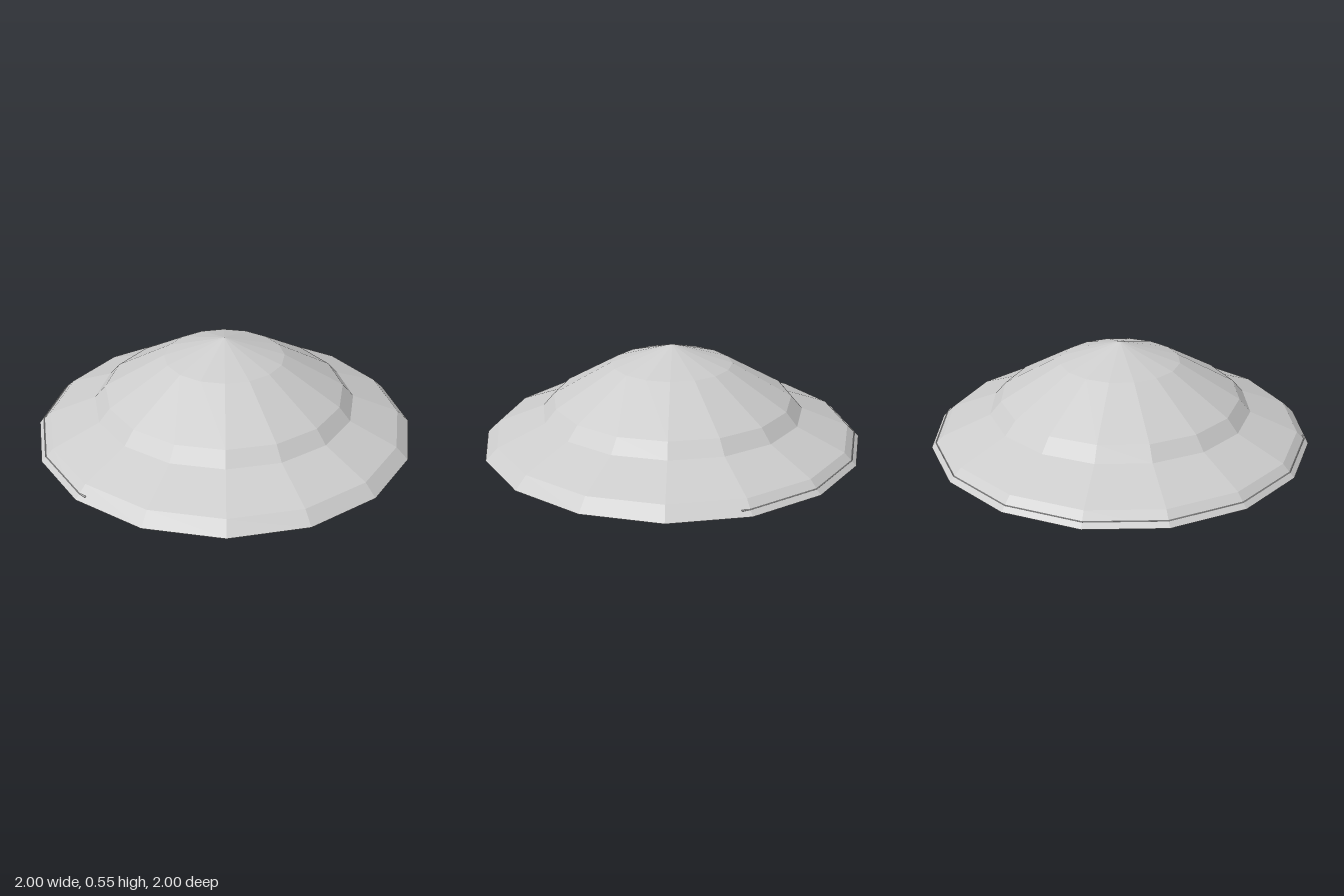
import * as THREE from 'three';

const SIDES = 16;

export function createModel() {
  const group = new THREE.Group();
  const grey = new THREE.MeshStandardMaterial({ color: 0xcccccc, flatShading: true, side: THREE.DoubleSide });
  grey.name = 'lightGrey';

  const add = (name, geometry) => {
    const mesh = new THREE.Mesh(geometry, grey);
    mesh.name = name;
    group.add(mesh);
    return mesh;
  };

  // Faceted thin dome, open underneath
  const profile = [[1, 0.045], [0.937, 0.105], [0.69, 0.202], [0.63, 0.27], [0.315, 0.45], [0, 0.55]];
  add('domeShell', new THREE.LatheGeometry(profile.map(([r, y]) => new THREE.Vector2(r, y)), SIDES));

  // Shallow tray closing the back half, built from half-round loops [radius, y, front z]
  const loops = [[0, 0.07, 0.04], [0.978, 0.07, 0.04], [0.95, 0.046, 0.038], [0.62, 0.012, 0.03], [0.12, 0, 0.02], [0, 0, 0.02]];
  const half = SIDES / 2;
  const count = half + 3;
  const positions = [];
  const index = [];
  for (const [r, y, front] of loops) {
    positions.push(r, y, front);
    for (let i = 0; i <= half; i++) {
      const a = (i / half) * Math.PI;
      positions.push(r * Math.cos(a), y, -r * Math.sin(a));
    }
    positions.push(-r, y, front);
  }
  for (let l = 0; l < loops.length - 1; l++) {
    for (let i = 0; i < count - 1; i++) {
      const a = l * count + i;
      const b = a + count;
      index.push(a, b, a + 1, a + 1, b, b + 1);
    }
  }
  // Straight front wall joining the two ends of the loops
  for (let l = 0; l < loops.length - 1; l++) {
    const a = l * count;
    const b = a + count;
    index.push(a, a + count - 1, b, a + count - 1, b + count - 1, b);
  }
  const tray = new THREE.BufferGeometry();
  tray.setAttribute('position', new THREE.Float32BufferAttribute(positions, 3));
  tray.setIndex(index);
  tray.computeVertexNormals();
  add('backTray', tray);

  // Small blank plate on the tray's front wall
  const plate = add('frontPlate', new THREE.BoxGeometry(0.24, 0.03, 0.008));
  plate.position.set(0, 0.03, 0.036);

  return group;
}
